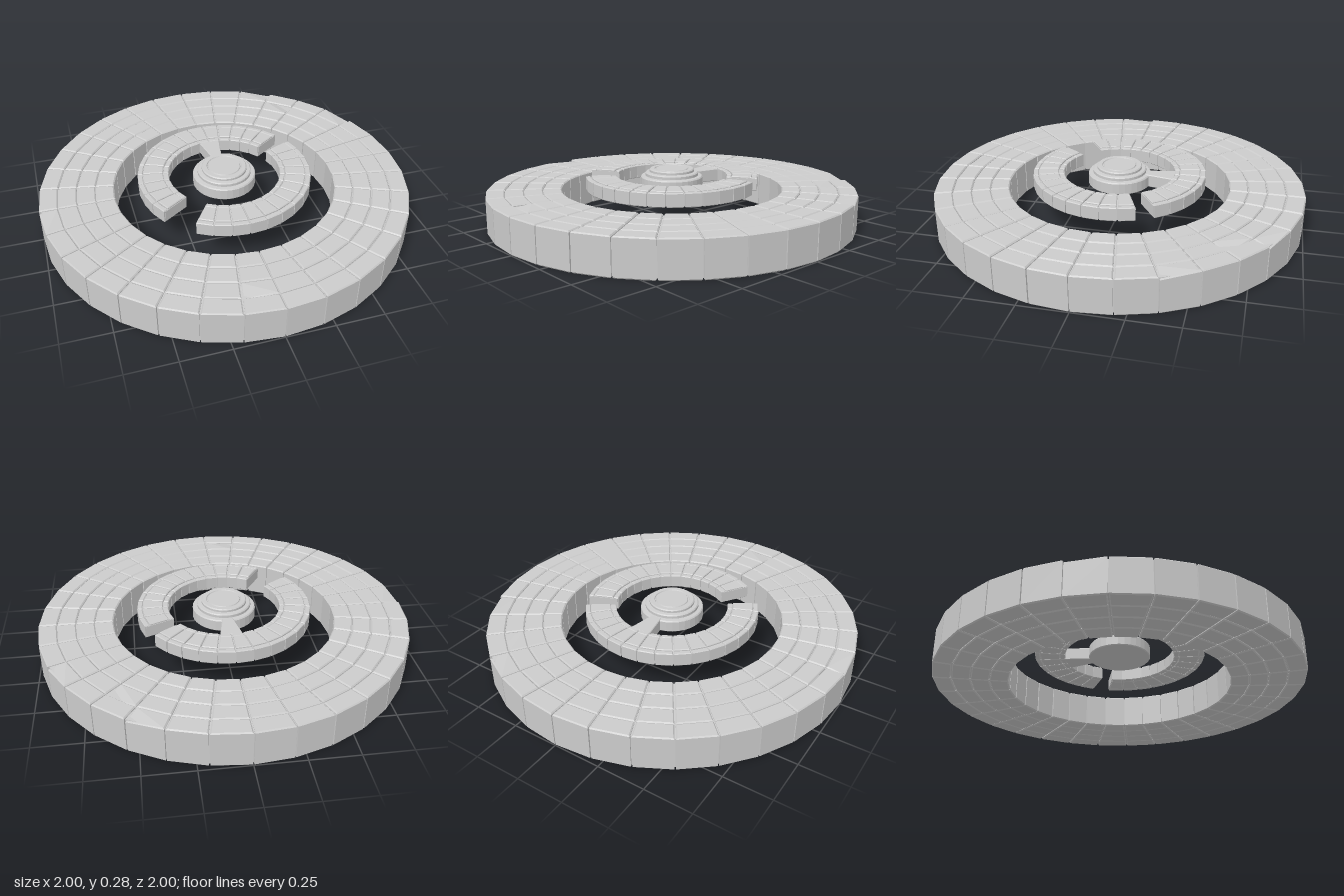
import * as THREE from 'three';
import { mergeGeometries } from 'three/addons/utils/BufferGeometryUtils.js';

const SECTORS = 32;
const STEP = (Math.PI * 2) / SECTORS;

// Chamfered wedge block between two radii and two angles, with a seam gap around it.
// drop lowers one top corner to look chipped.
function wedge(r0, r1, a0, a1, y0, y1, gap = 0.003, bevel = 0.006, drop = 0) {
  const levels = bevel
    ? [[y0, bevel], [y0 + bevel, 0], [y1 - bevel, 0], [y1, bevel]]
    : [[y0, 0], [y1, 0]];
  const loops = levels.map(([y, inset], k) => {
    const d = gap + inset;
    const corner = (r, a, sign, fall) => {
      const t = a + (sign * d) / r;
      return [r * Math.cos(t), y - fall, -r * Math.sin(t)];
    };
    const fall = k === levels.length - 1 ? drop : k === levels.length - 2 ? drop * 0.8 : 0;
    return [
      corner(r0 + d, a0, 1, 0), corner(r1 - inset, a0, 1, fall),
      corner(r1 - inset, a1, -1, 0), corner(r0 + d, a1, -1, 0),
    ];
  });
  const pos = [];
  const quad = (a, b, c, d) => pos.push(...a, ...b, ...c, ...a, ...c, ...d);
  for (let k = 0; k < loops.length - 1; k++) {
    for (let i = 0; i < 4; i++) {
      const j = (i + 1) % 4;
      quad(loops[k][i], loops[k][j], loops[k + 1][j], loops[k + 1][i]);
    }
  }
  quad(...loops[loops.length - 1]);
  quad(...[...loops[0]].reverse());
  const geo = new THREE.BufferGeometry();
  geo.setAttribute('position', new THREE.Float32BufferAttribute(pos, 3));
  geo.computeVertexNormals();
  return geo;
}

// Arc of blocks: rows are [innerRadius, outerRadius, bottom, top]
function blockArc(first, count, rows, bevel, chips = {}) {
  const parts = [];
  for (let s = first; s < first + count; s++) {
    rows.forEach(([r0, r1, y0, y1], row) => {
      const drop = chips[`${s},${row}`] || 0;
      parts.push(wedge(r0, r1, s * STEP, (s + 1) * STEP, y0, y1, 0.003, bevel, drop));
    });
  }
  return mergeGeometries(parts);
}

// Recessed core that closes the bottoms of the seams
function coreArc(first, count, r0, r1, y0, y1) {
  const parts = [];
  for (let s = first; s < first + count; s++) {
    parts.push(wedge(r0, r1, s * STEP, (s + 1) * STEP, y0, y1, 0, 0));
  }
  return mergeGeometries(parts);
}

export function createModel() {
  const model = new THREE.Group();
  const stone = new THREE.MeshStandardMaterial({ color: 0xcccccc, flatShading: true });
  const add = (name, geometry) => {
    const mesh = new THREE.Mesh(geometry, stone);
    mesh.name = name;
    model.add(mesh);
  };

  // Wide outer ring: four concentric rows of blocks, a few with chipped corners
  const outerRows = [0.6, 0.7, 0.8, 0.9].map((r) => [r, r + 0.1, 0, 0.19]);
  const chips = { '4,2': 0.02, '5,3': 0.015, '2,3': 0.015, '23,2': 0.012, '16,3': 0.012 };
  add('outerRingBlocks', blockArc(0, SECTORS, outerRows, 0.006, chips));
  add('outerRingCore', coreArc(0, SECTORS, 0.61, 0.99, 0.01, 0.18));

  // Broken inner ring: two arcs, each with low rims and a raised middle row
  const innerRows = [
    [0.3, 0.33, 0.18, 0.253],
    [0.33, 0.44, 0.18, 0.257],
    [0.44, 0.47, 0.18, 0.253],
  ];
  [['innerRingLongArc', 3, 16], ['innerRingShortArc', 21, 13]].forEach(([name, first, count]) => {
    add(name + 'Blocks', blockArc(first, count, innerRows, 0.004));
    add(name + 'Core', coreArc(first, count, 0.306, 0.464, 0.186, 0.247));
  });

  // Bridge from the hub to the inner ring at the back
  add('bridge', wedge(0.15, 0.31, Math.PI / 2 - 0.19, Math.PI / 2 + 0.19, 0.18, 0.25, 0, 0.004));

  // Stepped round hub
  const profile = [
    [0, 0.18], [0.165, 0.18], [0.17, 0.185], [0.17, 0.24], [0.165, 0.246],
    [0.145, 0.248], [0.145, 0.262], [0.14, 0.267], [0.122, 0.269],
    [0.122, 0.28], [0.117, 0.285], [0.095, 0.285], [0.092, 0.28],
    [0.088, 0.28], [0.085, 0.285], [0, 0.285],
  ].map(([r, y]) => new THREE.Vector2(r, y));
  add('hub', new THREE.LatheGeometry(profile, SECTORS));

  return model;
}
